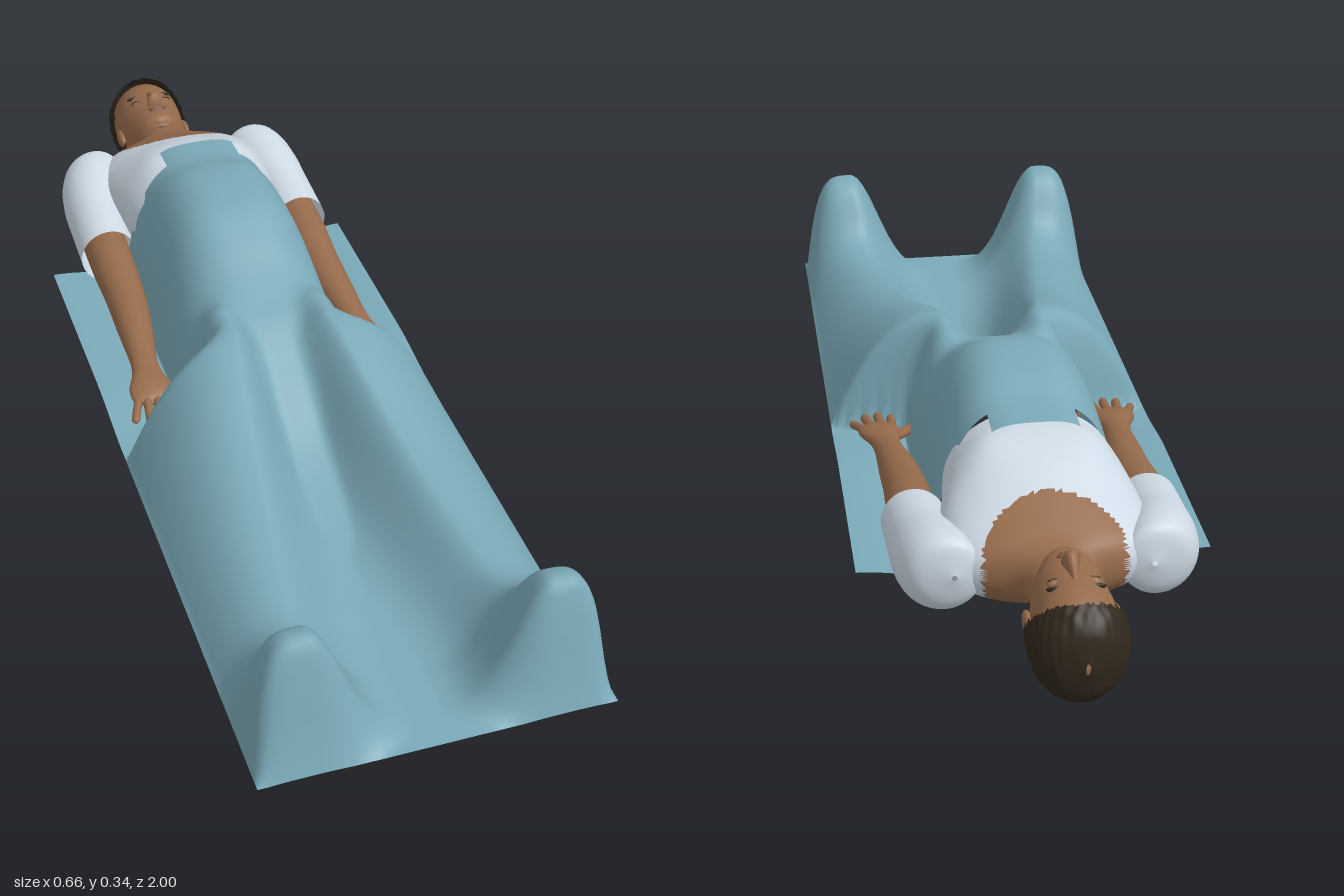
import * as THREE from 'three';

const mat = (name, color, side = THREE.DoubleSide) => {
  const m = new THREE.MeshStandardMaterial({ color, side });
  m.name = name;
  return m;
};

// Smooth interpolation through rows [t, a, b, ...], returning [a, b, ...]
function sample(rows, t) {
  const n = rows.length;
  if (t <= rows[0][0]) return rows[0].slice(1);
  if (t >= rows[n - 1][0]) return rows[n - 1].slice(1);
  let i = 0;
  while (t > rows[i + 1][0]) i++;
  const p = rows[Math.max(i - 1, 0)], a = rows[i], b = rows[i + 1], q = rows[Math.min(i + 2, n - 1)];
  const d = b[0] - a[0], u = (t - a[0]) / d;
  return a.slice(1).map((v, k) => {
    const w = b[k + 1];
    const m0 = (w - p[k + 1]) / (b[0] - p[0]) * d, m1 = (q[k + 1] - v) / (q[0] - a[0]) * d;
    const u2 = u * u, u3 = u2 * u;
    return (2 * u3 - 3 * u2 + 1) * v + (u3 - 2 * u2 + u) * m0 + (3 * u2 - 2 * u3) * w + (u3 - u2) * m1;
  });
}

// Loft of oval sections [y, centreX, zBack, zFront, radiusX], y rising.
// pick(x, y, z) returns a face's material index, or -1 to leave it out.
function loft(rows, { seg = 40, steps = 40, side = 1, pick = () => 0, warp = null } = {}) {
  const pos = [], sets = [[], []], y0 = rows[0][0], y1 = rows[rows.length - 1][0];
  for (let j = 0; j <= steps; j++) {
    const y = y0 + (y1 - y0) * (0.5 - 0.5 * Math.cos(Math.PI * j / steps));
    const [cx, zb, zf, rx] = sample(rows, y);
    for (let i = 0; i < seg; i++) {
      const a = i / seg * Math.PI * 2;
      const v = [side * cx + Math.max(rx, 0) * Math.sin(a), y, (zb + zf) / 2 + Math.max(zf - zb, 0) / 2 * Math.cos(a)];
      if (warp) warp(v);
      pos.push(...v);
    }
  }
  for (let j = 0; j < steps; j++) for (let i = 0; i < seg; i++) {
    const k = (i + 1) % seg, a = j * seg + i, b = j * seg + k, c = b + seg, d = a + seg;
    for (const tri of [[a, b, c], [a, c, d]]) {
      const g = pick(...[0, 1, 2].map(n => (pos[tri[0] * 3 + n] + pos[tri[1] * 3 + n] + pos[tri[2] * 3 + n]) / 3));
      if (g >= 0) sets[g].push(...tri);
    }
  }
  const geo = new THREE.BufferGeometry();
  geo.setAttribute('position', new THREE.Float32BufferAttribute(pos, 3));
  geo.setIndex([...sets[0], ...sets[1]]);
  geo.addGroup(0, sets[0].length, 0);
  geo.addGroup(sets[0].length, sets[1].length, 1);
  geo.computeVertexNormals();
  return geo;
}

// Blanket: profiles along z for the torso hump and the leg humps
const TORSO = [[-0.5, 0.302], [-0.42, 0.31], [-0.35, 0.331], [-0.27, 0.338], [-0.2, 0.331], [-0.13, 0.302], [-0.06, 0.266],
  [0, 0.24], [0.06, 0.215], [0.15, 0.16], [0.3, 0.07], [0.5, 0.01], [0.6, 0]];
const LEG = [[-0.1, 0], [-0.05, 0.14], [0, 0.225], [0.06, 0.247], [0.12, 0.25], [0.2, 0.228], [0.35, 0.178], [0.5, 0.142], [0.65, 0.12],
  [0.75, 0.118], [0.82, 0.15], [0.87, 0.232], [0.91, 0.256], [0.935, 0.245], [0.96, 0.155], [0.98, 0.07], [1, 0.005]];

function blanketHeight(x, z) {
  const ss = THREE.MathUtils.smoothstep, ax = Math.abs(x);
  const hump = sample(TORSO, z)[0] * Math.pow(Math.max(0, 1 - Math.pow(ax / 0.18, 3.2)), 0.6);
  const c = z < 0.1 ? 0.1 : 0.1 + 0.12 * Math.min(1, (z - 0.1) / 0.78);
  const edge = 0.18 + 0.15 * ss(z, 0.06, 0.13);
  const h = Math.max(0, sample(LEG, z)[0]);
  const power = 2.2 + 1.8 * ss(z, 0.75, 0.9);
  const legAt = px => {
    if (px < c) return h * Math.exp(-Math.pow((c - px) / 0.09, 2));
    return h * Math.max(0, 1 - Math.pow((px - c) / (edge - c), power));
  };
  const sum = [hump, legAt(x), legAt(-x)].reduce((s, v) => s + Math.pow(Math.max(v, 0), 8), 0);
  const flap = 0.016 * ss(ax, 0.18, 0.33) * (1 - ss(z, -0.1, 0.1));
  return 0.007 + flap + Math.max(0, Math.pow(sum, 1 / 8) - 0.003);
}

function blanketGeometry() {
  const nx = 132, nz = 150, geo = new THREE.PlaneGeometry(0.66, 1.5, nx, nz);
  geo.rotateX(-Math.PI / 2).translate(0, 0, 0.25);
  const p = geo.attributes.position, idx = geo.index.array, keep = [];
  for (let i = 0; i < p.count; i++) p.setY(i, blanketHeight(p.getX(i), p.getZ(i)));
  // Notches beside the chest tab
  for (let i = 0; i < idx.length; i += 3) {
    const t = [idx[i], idx[i + 1], idx[i + 2]];
    const x = Math.abs(t.reduce((s, k) => s + p.getX(k), 0) / 3), z = t.reduce((s, k) => s + p.getZ(k), 0) / 3;
    if (!(z < -0.44 && x > 0.08 && x < 0.19)) keep.push(...t);
  }
  geo.setIndex(keep);
  geo.computeVertexNormals();
  return geo;
}

export function createModel() {
  const model = new THREE.Group();
  const cloth = mat('blanket blue', 0x7ba9b7), shirt = mat('shirt white', 0xcedae5);
  const skin = mat('skin brown', 0x966b4c), hair = mat('hair dark', 0x30271c), lip = mat('lip brown', 0x7c5140);
  const add = (parent, name, geo, material) => {
    const m = new THREE.Mesh(geo, material);
    m.name = name;
    parent.add(m);
    return m;
  };
  const ball = (parent, name, material, at, scale) => {
    const m = add(parent, name, new THREE.SphereGeometry(1, 20, 14), material);
    m.position.set(...at);
    m.scale.set(...scale);
    return m;
  };
  add(model, 'blanket', blanketGeometry(), cloth);

  // The person is built upright, facing +z, then laid on the back
  const person = new THREE.Group();
  person.name = 'person';
  person.rotation.x = -Math.PI / 2;
  model.add(person);

  // Torso and neck, with a round neckline
  const torso = [[0.42, 0, 0.02, 0.293, 0.16], [0.5, 0, 0.012, 0.287, 0.172], [0.57, 0, 0.01, 0.268, 0.185], [0.62, 0, 0.012, 0.245, 0.19],
    [0.66, 0, 0.03, 0.225, 0.188], [0.7, 0, 0.055, 0.205, 0.165], [0.722, 0, 0.07, 0.195, 0.125], [0.74, 0, 0.075, 0.19, 0.08],
    [0.765, 0, 0.07, 0.185, 0.06], [0.82, 0, 0.06, 0.18, 0.056]];
  add(person, 'shirt and neck', loft(torso, {
    seg: 96, steps: 80,
    pick: (x, y) => (y > 0.732 || (x / 0.128) ** 2 + ((y - 0.735) / 0.105) ** 2 < 1 ? 1 : 0),
    warp: v => { // gentle chest shape
      if (v[2] > 0.15) v[2] += 0.014 * Math.exp(-(((Math.abs(v[0]) - 0.1) / 0.05) ** 2) - ((v[1] - 0.51) / 0.06) ** 2);
    },
  }), [shirt, skin]);

  const sleeve = [[0.44, 0.217, 0.028, 0.155, 0.06], [0.55, 0.211, 0.028, 0.175, 0.064], [0.62, 0.201, 0.028, 0.192, 0.072],
    [0.68, 0.19, 0.045, 0.198, 0.07], [0.708, 0.182, 0.075, 0.185, 0.052], [0.72, 0.175, 0.125, 0.135, 0.005]];
  const arm = [[-0.025, 0.242, 0.05, 0.052, 0.004], [-0.015, 0.242, 0.04, 0.064, 0.034], [0.02, 0.24, 0.04, 0.075, 0.042],
    [0.06, 0.235, 0.042, 0.08, 0.031], [0.1, 0.231, 0.04, 0.086, 0.028], [0.2, 0.222, 0.032, 0.107, 0.037],
    [0.3, 0.217, 0.036, 0.123, 0.042], [0.4, 0.217, 0.04, 0.14, 0.046], [0.52, 0.215, 0.045, 0.15, 0.047]];
  // Fingers as [x, y, tip x, tip y, radius]
  const fingers = [[0.214, 0, 0.21, -0.068, 0.0095], [0.233, -0.005, 0.236, -0.082, 0.0095], [0.252, -0.005, 0.262, -0.077, 0.0095],
    [0.268, 0, 0.288, -0.052, 0.0085], [0.21, 0.035, 0.174, -0.018, 0.011]];
  for (const s of [1, -1]) {
    const side = s > 0 ? 'left' : 'right';
    add(person, side + 'Sleeve', loft(sleeve, { side: s }), shirt);
    add(person, side + 'Arm', loft(arm, { side: s, seg: 28 }), skin);
    for (const [x, y, tx, ty, r] of fingers) {
      const a = new THREE.Vector3(s * x, y, 0.055), b = new THREE.Vector3(s * tx, ty, 0.042), d = b.clone().sub(a);
      const f = add(person, side + 'Finger', new THREE.CapsuleGeometry(r, d.length(), 5, 10), skin);
      f.position.copy(a).add(b).multiplyScalar(0.5);
      f.quaternion.setFromUnitVectors(new THREE.Vector3(0, 1, 0), d.normalize());
    }
  }

  // Head
  const head = new THREE.Group();
  head.name = 'head';
  head.position.x = -0.006;
  person.add(head);
  const skull = [[0.76, 0, 0.165, 0.192, 0.015], [0.772, 0, 0.125, 0.208, 0.04], [0.8, 0, 0.06, 0.212, 0.06], [0.83, 0, 0.03, 0.209, 0.069],
    [0.87, 0, 0.022, 0.209, 0.074], [0.91, 0, 0.02, 0.207, 0.075], [0.95, 0, 0.03, 0.19, 0.067], [0.975, 0, 0.055, 0.16, 0.045], [0.985, 0, 0.1, 0.11, 0.004]];
  add(head, 'face', loft(skull, { seg: 48, steps: 48 }), skin);
  add(head, 'nose', loft([[0.818, 0, 0.195, 0.207, 0.006], [0.824, 0, 0.19, 0.227, 0.016], [0.834, 0, 0.19, 0.238, 0.014],
    [0.855, 0, 0.19, 0.224, 0.009], [0.88, 0, 0.19, 0.21, 0.007]], { seg: 20, steps: 16 }), skin);
  ball(head, 'chin', skin, [0, 0.779, 0.192], [0.026, 0.017, 0.018]);
  ball(head, 'upperLip', lip, [0, 0.808, 0.21], [0.021, 0.004, 0.006]);
  ball(head, 'lowerLip', lip, [0, 0.801, 0.209], [0.018, 0.005, 0.007]);
  for (const s of [1, -1]) {
    ball(head, 'eyelid', skin, [s * 0.031, 0.866, 0.193], [0.015, 0.009, 0.009]);
    ball(head, 'lashes', hair, [s * 0.031, 0.862, 0.196], [0.014, 0.0018, 0.007]);
    ball(head, 'eyebrow', hair, [s * 0.033, 0.885, 0.195], [0.018, 0.003, 0.006]).rotation.z = -s * 0.1;
    ball(head, 'ear', skin, [s * 0.076, 0.85, 0.115], [0.009, 0.027, 0.017]);
  }

  // Short wavy hair, open over the face
  const cap = [[0.775, 0, 0.05, 0.15, 0.05], [0.8, 0, 0.024, 0.19, 0.069], [0.84, 0, 0.008, 0.205, 0.08], [0.88, 0, 0.004, 0.214, 0.085],
    [0.92, 0, 0.006, 0.214, 0.085], [0.955, 0, 0.018, 0.203, 0.076], [0.985, 0, 0.05, 0.17, 0.048], [0.998, 0, 0.1, 0.12, 0.004]];
  add(head, 'hair', loft(cap, {
    seg: 90, steps: 70,
    pick: (x, y, z) => (z < 0.118 + Math.max(0, y - 0.868) * 1.05 + 0.004 * Math.sin(y * 420 + x * 200) ? 0 : -1),
    warp: v => {
      const w = 0.0015 * Math.sin(v[0] * 260) * Math.sin(v[1] * 240 + v[2] * 90);
      v[0] += Math.sign(v[0]) * w;
      v[2] += v[2] > 0.1 ? w : Math.abs(w);
    },
  }), hair);
  return model;
}
